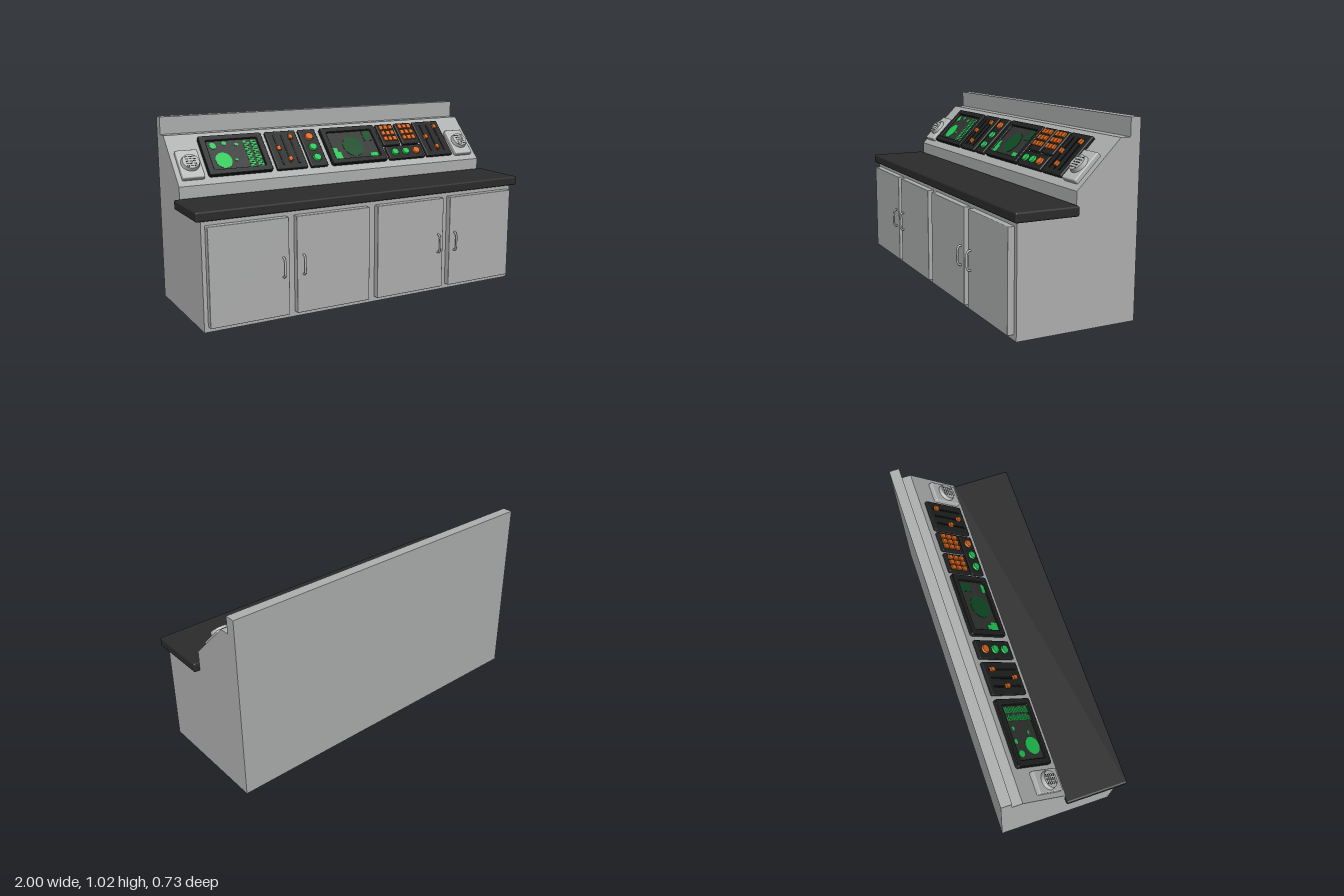
import * as THREE from 'three';
import { RoundedBoxGeometry } from 'three/addons/geometries/RoundedBoxGeometry.js';

const mat = (name, color) => Object.assign(new THREE.MeshStandardMaterial({ color }), { name });

export function createModel() {
  const grey = mat('cabinet grey', 0xaeb0af);
  const pale = mat('speaker grey', 0xb6b8b8);
  const counter = mat('counter charcoal', 0x2b2b2b);
  const dark = mat('panel black', 0x1f2020);
  const glass = mat('screen glass', 0x303331);
  const black = mat('slot black', 0x0d0d0d);
  const orange = mat('orange', 0xd9661c);
  const green = mat('bright green', 0x20c552);
  const deepGreen = mat('deep green', 0x0f4a24);

  const model = new THREE.Group();
  model.name = 'controlDesk';
  const add = (parent, name, geo, m, x = 0, y = 0, z = 0) => {
    const mesh = new THREE.Mesh(geo, m);
    mesh.name = name;
    mesh.position.set(x, y, z);
    parent.add(mesh);
    return mesh;
  };

  // Cabinet body: side profile (z, y) extruded across the width
  const profile = new THREE.Shape([
    [0.305, 0], [0.305, 0.575], [-0.01, 0.575], [-0.01, 0.69], [-0.25, 0.93],
    [-0.305, 0.93], [-0.305, 1.025], [-0.362, 1.025], [-0.362, 0],
  ].map(([z, y]) => new THREE.Vector2(z, y)));
  const body = new THREE.ExtrudeGeometry(profile, { depth: 1.936, bevelEnabled: false });
  body.rotateY(-Math.PI / 2).translate(0.968, 0, 0);
  add(model, 'cabinetBody', body, grey);

  // Countertop
  add(model, 'countertop', new RoundedBoxGeometry(2, 0.052, 0.34, 2, 0.01), counter, 0, 0.601, 0.16);

  // Doors with bent bar handles
  const handleCurve = new THREE.CatmullRomCurve3([
    [0.238, 0.335], [0.24, 0.352], [0.256, 0.361], [0.29, 0.362], [0.324, 0.361], [0.34, 0.352], [0.342, 0.335],
  ].map(([y, z]) => new THREE.Vector3(0, y, z)));
  [[-0.728, -0.544], [-0.247, -0.429], [0.242, 0.426], [0.725, 0.54]].forEach(([x, hx]) => {
    add(model, 'door', new RoundedBoxGeometry(0.438, 0.524, 0.04, 1, 0.004), grey, x, 0.289, 0.32);
    add(model, 'doorHandle', new THREE.TubeGeometry(handleCurve, 24, 0.006, 8), pale, hx, 0, 0);
  });

  // Sloping console: local x across, y up the slope, z out of it
  const desk = new THREE.Group();
  desk.name = 'slopedConsole';
  desk.position.set(0, 0.81, -0.13);
  desk.rotation.x = -Math.PI / 4;
  model.add(desk);
  const box = (name, m, x, y, w, h, z0, z1) =>
    add(desk, name, new THREE.BoxGeometry(w, h, z1 - z0), m, x, y, (z0 + z1) / 2);
  const disc = (name, m, x, y, r, z0, z1, rTop = r) => add(desk, name,
    new THREE.CylinderGeometry(rTop, r, z1 - z0, 24).rotateX(Math.PI / 2), m, x, y, (z0 + z1) / 2);
  const plate = (name, x, y, w, h) =>
    add(desk, name, new RoundedBoxGeometry(w, h, 0.024, 2, 0.006), dark, x, y, 0.008);

  // Screen bezels with recessed glass
  const outline = (path, w, h, r) => {
    path.moveTo(-w + r, -h);
    path.lineTo(w - r, -h); path.quadraticCurveTo(w, -h, w, -h + r);
    path.lineTo(w, h - r); path.quadraticCurveTo(w, h, w - r, h);
    path.lineTo(-w + r, h); path.quadraticCurveTo(-w, h, -w, h - r);
    path.lineTo(-w, -h + r); path.quadraticCurveTo(-w, -h, -w + r, -h);
    return path;
  };
  [-0.608, 0.133].forEach((x) => {
    const frame = outline(new THREE.Shape(), 0.182, 0.128, 0.012);
    frame.holes.push(outline(new THREE.Path(), 0.152, 0.099, 0.008));
    add(desk, 'screenBezel', new THREE.ExtrudeGeometry(frame,
      { depth: 0.018, bevelThickness: 0.004, bevelSize: 0.003, bevelSegments: 1, curveSegments: 4 }), dark, x, 0.004, 0);
    box('screenGlass', glass, x, 0.004, 0.306, 0.2, 0, 0.012);
  });

  // Left screen: blobs and columns of readout dashes
  const blob = (m, x, y, w, h) => disc('screenBlob', m, x, y, 1, 0.012, 0.014).scale.set(w, h, 1);
  [[-0.685, -0.033, 0.047, 0.052], [-0.722, 0.068, 0.018, 0.022], [-0.655, 0.08, 0.014, 0.012],
    [-0.585, 0.068, 0.012, 0.01], [-0.612, -0.035, 0.01, 0.008]].forEach((b) => blob(green, ...b));
  let seed = 7;
  const rand = () => (seed = (seed * 16807) % 2147483647) / 2147483647;
  [-0.543, -0.499].forEach((x) => {
    for (let i = 0; i < 15; i++) {
      const w = 0.022 + rand() * 0.014;
      box('readoutLine', green, x + w / 2, 0.084 - i * 0.0123, w, 0.008, 0.012, 0.014);
    }
  });

  // Right screen: radar disc and data blocks
  blob(deepGreen, 0.127, -0.008, 0.066, 0.07);
  box('dataBlock', deepGreen, 0.243, 0.06, 0.05, 0.07, 0.012, 0.014);
  box('dataBlock', green, 0.003, -0.068, 0.055, 0.052, 0.012, 0.015);
  box('dataBlock', green, -0.003, -0.028, 0.035, 0.03, 0.012, 0.015);
  box('dataBlock', green, 0.243, -0.08, 0.05, 0.03, 0.012, 0.015);

  // Slider panels
  [-0.304, 0.695].forEach((x) => {
    plate('sliderPanel', x, 0.004, 0.187, 0.262);
    [0.01, -0.068, 0.084].forEach((y, i) => {
      const sx = x + (i - 1) * 0.048;
      box('sliderTrack', black, sx, 0.004, 0.012, 0.205, 0.018, 0.022);
      box('sliderKnob', orange, sx, y, 0.022, 0.028, 0.018, 0.034);
    });
  });

  // Round buttons: one column, one row
  plate('buttonColumnPanel', -0.136, 0.004, 0.107, 0.262);
  [orange, green, green].forEach((m, i) =>
    disc('roundButton', m, -0.136, 0.079 - i * 0.075, 0.026, 0.018, 0.03, 0.022));
  plate('buttonRowPanel', 0.46, -0.08, 0.25, 0.094);
  [green, green, orange].forEach((m, i) =>
    disc('roundButton', m, 0.385 + i * 0.075, -0.08, 0.025, 0.018, 0.03, 0.021));

  // Keypads
  [0.392, 0.527].forEach((x) => {
    plate('keypadPanel', x, 0.055, 0.117, 0.158);
    for (let i = 0; i < 9; i++)
      box('keypadKey', orange, x + ((i % 3) - 1) * 0.032, 0.062 + (Math.floor(i / 3) - 1) * 0.042, 0.025, 0.03, 0.018, 0.029);
  });

  // Speakers with slotted round grilles
  [-0.88, 0.871].forEach((x) => {
    add(desk, 'speakerPlate', new RoundedBoxGeometry(0.122, 0.182, 0.035, 2, 0.007), pale, x, -0.043, 0.0085);
    disc('speakerGrille', pale, x, -0.043, 0.052, 0.024, 0.046, 0.046);
    for (let row = -2; row <= 2; row++)
      for (let col = -1; col <= 1; col++)
        box('speakerSlot', glass, x + col * 0.02, -0.043 + row * 0.015, 0.015, 0.006, 0.045, 0.047);
  });

  return model;
}
